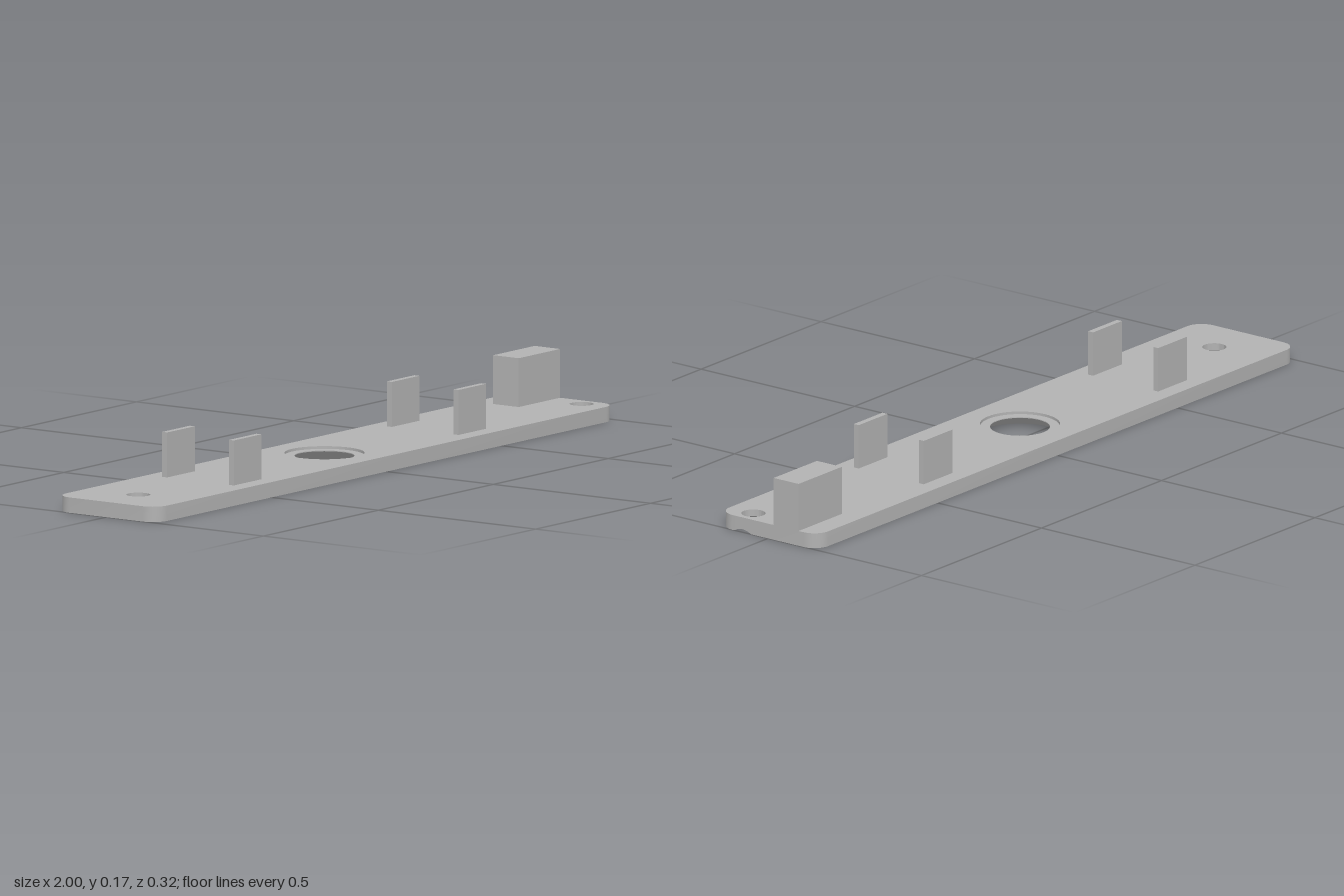
import * as THREE from 'three';
import { toCreasedNormals } from 'three/addons/utils/BufferGeometryUtils.js';

const T = 0.04, L = 1, W = 0.161, CORNER = 0.045, SEG = 48;
const SINK = 0.053; // screw countersink radius, 45 degree cone
const EDGE_HOLE = { x: 0.955, z: 0.083 };

const v = (x, y, z) => new THREE.Vector3(x, y, z);

// Ring of points around a hole; r and y may depend on the angle
function ring(c, r, y) {
  return Array.from({ length: SEG }, (_, i) => {
    const a = (i / SEG) * Math.PI * 2;
    const rr = typeof r === 'function' ? r(a) : r;
    const yy = typeof y === 'function' ? y(a) : y;
    return v(c.x + rr * Math.cos(a), yy, c.z + rr * Math.sin(a));
  });
}

// Flat horizontal face with holes
function face(outline, holes, y, up) {
  const s = up ? -1 : 1;
  const flat = pts => pts.map(p => new THREE.Vector2(p.x, s * p.z));
  const shape = new THREE.Shape(flat(outline));
  shape.holes = holes.map(h => new THREE.Path(flat(h)));
  return new THREE.ShapeGeometry(shape).rotateX(s * Math.PI / 2).translate(0, y, 0);
}

// Closed wall between successive rings, facing outward or inward
function wall(rings, inward) {
  const pos = [];
  const tri = (a, b, c) => (inward ? [a, c, b] : [a, b, c]).forEach(p => pos.push(p.x, p.y, p.z));
  for (let k = 0; k < rings.length - 1; k++) {
    const lo = rings[k], hi = rings[k + 1], n = lo.length;
    for (let i = 0; i < n; i++) {
      const j = (i + 1) % n;
      tri(lo[i], hi[i], lo[j]);
      tri(hi[i], hi[j], lo[j]);
    }
  }
  const g = new THREE.BufferGeometry();
  g.setAttribute('position', new THREE.Float32BufferAttribute(pos, 3));
  g.computeVertexNormals();
  return toCreasedNormals(g, 0.5);
}

// Rounded plate outline; arcNotch swaps the straight notch edge for the sink's arc
function plateOutline(arcNotch) {
  const pts = [];
  const corners = [[1, 1], [-1, 1], [-1, -1], [1, -1]];
  corners.forEach(([sx, sz], q) => {
    for (let i = 0; i <= 8; i++) {
      const a = (q + i / 8) * Math.PI / 2;
      pts.push(v(sx * (L - CORNER) + CORNER * Math.cos(a), 0, sz * (W - CORNER) + CORNER * Math.sin(a)));
    }
  });
  // the countersink breaks through the end edge
  const d = L - EDGE_HOLE.x, open = Math.acos(d / SINK);
  for (let i = 0; i <= 12; i++) {
    const a = open * (i / 6 - 1);
    if (arcNotch === 'cut') {
      // walk round the far side of the sink, leaving it open at the edge
      const b = -open - (2 * Math.PI - 2 * open) * (i / 12);
      pts.push(v(EDGE_HOLE.x + SINK * Math.cos(b), 0, EDGE_HOLE.z + SINK * Math.sin(b)));
    } else {
      pts.push(v(L, 0, EDGE_HOLE.z + d * Math.tan(a)));
    }
  }
  return pts;
}

export function createModel() {
  const model = new THREE.Group();
  const grey = new THREE.MeshStandardMaterial({ color: 0xb2b2b2, side: THREE.DoubleSide });
  grey.name = 'grey';
  const add = (name, geo) => {
    const m = new THREE.Mesh(geo, grey);
    m.name = name;
    model.add(m);
    return m;
  };

  // Hole profiles from bottom to top
  const centre = { x: -0.05, z: 0 }, endHole = { x: -0.86, z: 0 };
  const r = 0.031;
  const centreRings = [[0.125, 0], [0.077, 0.031], [0.077, 0.033], [0.103, 0.033], [0.103, T]]
    .map(([rad, y]) => ring(centre, rad, y));
  const endRings = [[SINK, 0], [r, SINK - r], [r, T]].map(([rad, y]) => ring(endHole, rad, y));
  const clipped = a => {
    const c = Math.cos(a);
    return c > 0 ? Math.min(SINK, (L - EDGE_HOLE.x) / c) : SINK;
  };
  const edgeRings = [
    ring(EDGE_HOLE, clipped, a => SINK - clipped(a)),
    ring(EDGE_HOLE, r, SINK - r),
    ring(EDGE_HOLE, r, T),
  ];
  const holes = [centreRings, endRings, edgeRings];

  // Base plate
  const outline = plateOutline();
  const low = outline.map(p => v(p.x, Math.max(0, SINK - Math.hypot(p.x - EDGE_HOLE.x, p.z - EDGE_HOLE.z)), p.z));
  const high = outline.map(p => v(p.x, T, p.z));
  add('plateTop', face(outline, holes.map(h => h[h.length - 1]), T, true));
  add('plateBottom', face(plateOutline('cut'), [centreRings[0], endRings[0]], 0, false));
  add('plateRim', wall([low, high], false));
  add('centreHole', wall(centreRings, true));
  add('endScrewHole', wall(endRings, true));
  add('edgeScrewHole', wall(edgeRings, true));

  // Upright clip tabs in two pairs
  for (const x of [-0.54, 0.437]) {
    for (const side of [-1, 1]) {
      add('clipTab', new THREE.BoxGeometry(0.12, 0.117, 0.016))
        .position.set(x, T + 0.0585, side * 0.106);
    }
  }

  // Block at the left end
  add('endBlock', new THREE.BoxGeometry(0.18, 0.127, 0.081)).position.set(0.91, T + 0.0635, -0.059);

  return model;
}
